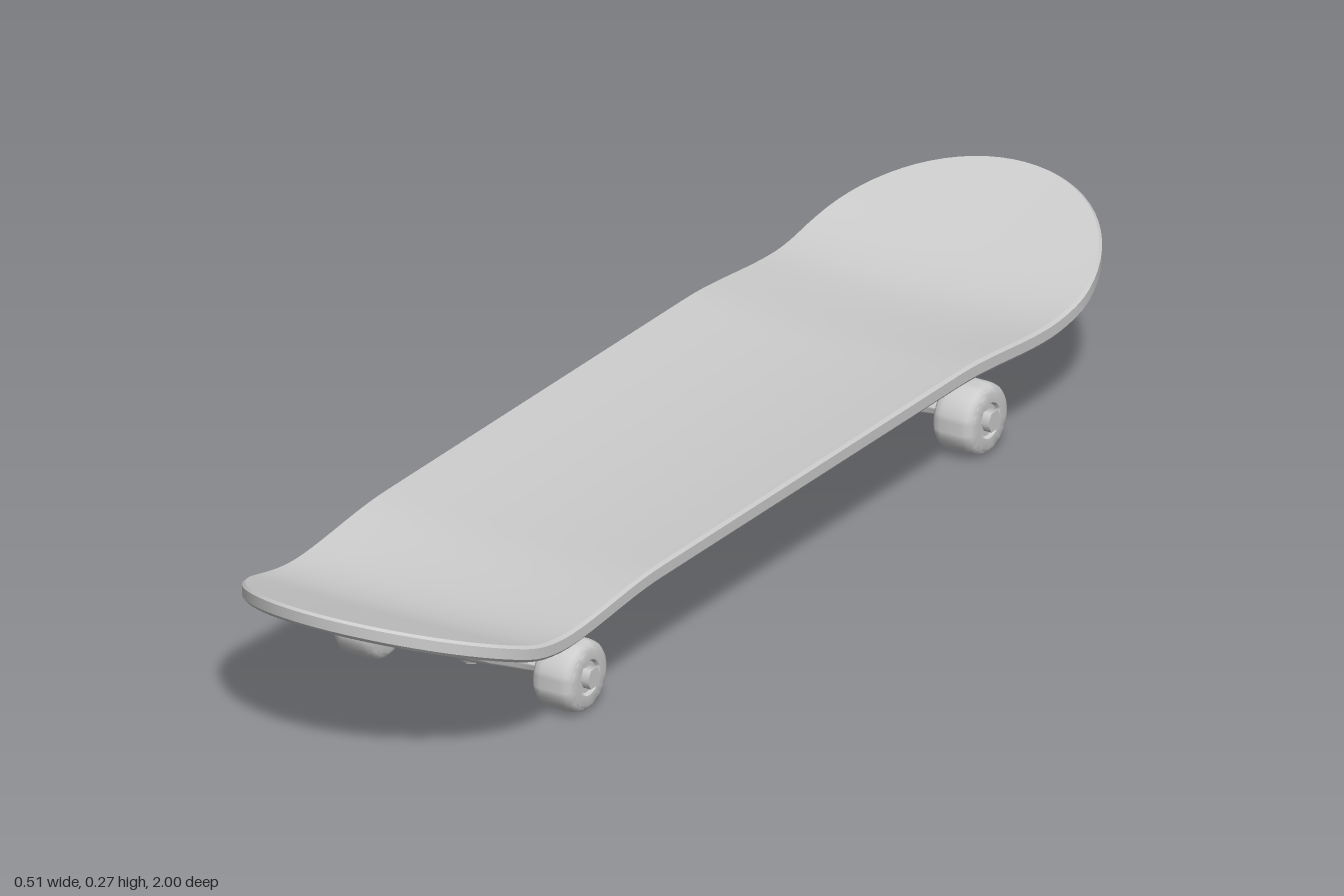
import * as THREE from 'three';
import { toCreasedNormals } from 'three/addons/utils/BufferGeometryUtils.js';
import { RoundedBoxGeometry } from 'three/addons/geometries/RoundedBoxGeometry.js';

const material = new THREE.MeshStandardMaterial({ color: 0xcccccc });
const { smoothstep, lerp } = THREE.MathUtils;

function add(parent, name, geometry, x = 0, y = 0, z = 0) {
  const mesh = new THREE.Mesh(geometry, material);
  mesh.name = name;
  mesh.position.set(x, y, z);
  parent.add(mesh);
  return mesh;
}

// Joins closed cross-sections (arrays of [x, y, z]) into one skin.
function loft(sections, crease) {
  const n = sections[0].length;
  const index = [];
  for (let i = 0; i < sections.length - 1; i++) {
    for (let j = 0; j < n; j++) {
      const a = i * n + j, b = i * n + (j + 1) % n;
      index.push(a, a + n, b, b, a + n, b + n);
    }
  }
  const geometry = new THREE.BufferGeometry();
  geometry.setAttribute('position', new THREE.Float32BufferAttribute(sections.flat(2), 3));
  geometry.setIndex(index);
  geometry.computeVertexNormals();
  return crease ? toCreasedNormals(geometry, crease) : geometry;
}

// Deck underside: flat middle, slight dip over the trucks, kicked-up ends.
const R = 0.253, THICK = 0.028, STRAIGHT = 1 - R;
function underside(x, z) {
  const d = Math.abs(z);
  const t = Math.max(0, d - 0.66);
  const kick = 0.378 * (t < 0.14 ? t * t / 0.28 : t - 0.07);
  const concave = lerp(0.016, 0.004, smoothstep(d, 0.45, 0.95)) * (x / R) ** 2;
  return 0.158 - 0.013 * smoothstep(d, 0.42, 0.66) + kick + concave;
}

function deckGeometry() {
  // Cross-section as [across, inset, height], clockwise from the top left
  const bevel = 0.005, cols = 16, ring = [];
  for (let i = 0; i <= cols; i++) ring.push([-1 + 2 * i / cols, bevel, THICK]);
  ring.push([1, 0, THICK - bevel], [1, 0, bevel]);
  for (let i = 0; i <= cols; i++) ring.push([1 - 2 * i / cols, bevel, 0]);
  ring.push([-1, 0, bevel], [-1, 0, THICK - bevel]);

  // Rows run along a stadium outline: round end, straight sides, round end
  const rows = [], caps = 18, straight = 64;
  for (let i = 0; i < caps; i++) rows.push([-STRAIGHT, -Math.PI / 2 * (1 - i / caps)]);
  for (let i = 0; i <= straight; i++) rows.push([lerp(-STRAIGHT, STRAIGHT, i / straight), 0]);
  for (let i = 1; i <= caps; i++) rows.push([STRAIGHT, Math.PI / 2 * i / caps]);

  return loft(rows.map(([zc, a]) => ring.map(([u, inset, h]) => {
    const x = u * (R - inset) * Math.cos(a);
    const z = zc + (R - inset) * Math.sin(a);
    return [x, underside(x, z) + h, z];
  })), 0.6);
}

// Hanger: tapered elliptical body across x
function hangerGeometry() {
  const half = [ // x, bottom, top, half depth
    [0, 0.037, 0.097, 0.036], [0.015, 0.037, 0.095, 0.035], [0.03, 0.038, 0.089, 0.031],
    [0.05, 0.039, 0.081, 0.025], [0.075, 0.041, 0.077, 0.020], [0.1, 0.043, 0.075, 0.017],
    [0.125, 0.047, 0.072, 0.014], [0.148, 0.051, 0.067, 0.009], [0.148, 0.059, 0.059, 0],
  ];
  const full = [...half.slice(1).reverse().map(([x, ...r]) => [-x, ...r]), ...half];
  return loft(full.map(([x, bottom, top, depth]) => Array.from({ length: 28 }, (_, j) => {
    const t = j / 28 * Math.PI * 2;
    return [x, (top + bottom) / 2 + Math.cos(t) * (top - bottom) / 2, -Math.sin(t) * depth];
  })), 1);
}

// Wheel: lathe with rounded tyre edges and a recessed hub, turned onto the x axis
function wheelGeometry() {
  const side = [[0.010, 0.030], [0.026, 0.030], [0.029, 0.036], [0.045, 0.0365],
    [0.051, 0.034], [0.056, 0.028], [0.058, 0.018]];
  const profile = [...side.map(([r, h]) => [r, -h]), ...side.reverse()]
    .map(([r, h]) => new THREE.Vector2(r, h));
  return toCreasedNormals(new THREE.LatheGeometry(profile, 40).rotateZ(-Math.PI / 2), 0.7);
}

function createTruck(name) {
  const truck = new THREE.Group();
  truck.name = name;

  // Mounting plates and bolts
  add(truck, 'riserPad', new RoundedBoxGeometry(0.132, 0.026, 0.152, 2, 0.004), 0, 0.149, -0.01);
  add(truck, 'basePlate', new RoundedBoxGeometry(0.116, 0.014, 0.136, 2, 0.004), 0, 0.132, -0.01);
  for (const x of [-0.044, 0.044]) {
    for (const z of [-0.06, 0.04]) {
      add(truck, 'mountingNut', new THREE.CylinderGeometry(0.008, 0.008, 0.012, 6), x, 0.122, z);
    }
  }

  // Kingpin with its cup, bushing and nut
  add(truck, 'bushingCup', new THREE.CylinderGeometry(0.036, 0.032, 0.032, 32), 0, 0.112, -0.008);
  add(truck, 'bushing', new THREE.CylinderGeometry(0.028, 0.031, 0.02, 32), 0, 0.094, -0.006);
  add(truck, 'kingpinWasher', new THREE.CylinderGeometry(0.02, 0.017, 0.006, 28), 0, 0.037, -0.004);
  add(truck, 'kingpinNut', new THREE.CylinderGeometry(0.013, 0.013, 0.01, 6), 0, 0.036, -0.004);

  // Hanger with pivot arm and axle
  add(truck, 'hanger', hangerGeometry());
  const pivot = add(truck, 'pivotArm', new THREE.CylinderGeometry(0.011, 0.019, 0.08, 20), 0, 0.098, 0.03);
  pivot.rotation.x = 0.45;
  add(truck, 'axle', new THREE.CylinderGeometry(0.008, 0.008, 0.45, 16).rotateZ(Math.PI / 2), 0, 0.059, 0);

  // Wheels and axle nuts
  for (const s of [-1, 1]) {
    add(truck, 'wheel', wheelGeometry(), s * 0.1815, 0.058, 0);
    add(truck, 'axleNut', new THREE.CylinderGeometry(0.018, 0.018, 0.014, 6).rotateZ(Math.PI / 2), s * 0.219, 0.059, 0);
  }
  return truck;
}

export function createModel() {
  const model = new THREE.Group();
  model.name = 'skateboard';
  add(model, 'deck', deckGeometry());

  // Trucks mirror each other about the middle of the board
  const front = createTruck('frontTruck');
  front.position.z = 0.57;
  const back = createTruck('backTruck');
  back.position.z = -0.56;
  back.rotation.y = Math.PI;
  model.add(front, back);
  return model;
}
